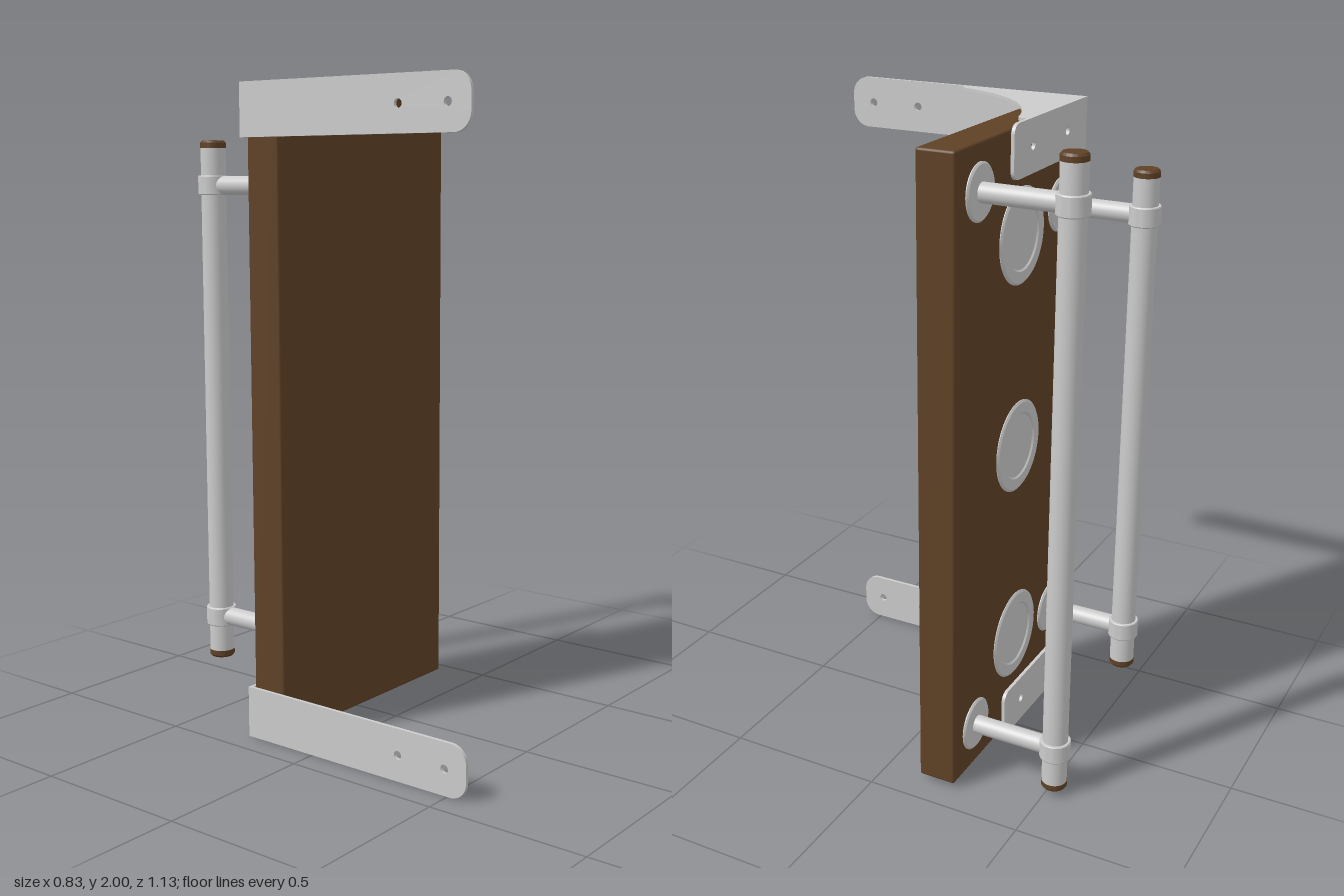
import * as THREE from 'three';
import { RoundedBoxGeometry } from 'three/addons/geometries/RoundedBoxGeometry.js';
import { toCreasedNormals } from 'three/addons/utils/BufferGeometryUtils.js';

const steel = new THREE.MeshStandardMaterial({ color: 0xcccccc });
const wood = new THREE.MeshStandardMaterial({ color: 0x5f4126 });

function add(parent, name, geometry, material, x, y, z) {
  const mesh = new THREE.Mesh(geometry, material);
  mesh.name = name;
  mesh.position.set(x, y, z);
  parent.add(mesh);
  return mesh;
}

// Turned part from [radius, height] pairs, with sharp edges kept
function turned(profile, segments = 48) {
  const points = profile.map(([r, h]) => new THREE.Vector2(r, h));
  return toCreasedNormals(new THREE.LatheGeometry(points, segments), 0.5);
}

// Flat strip along +x with two rounded corners at the far end and screw holes
function strip(length, height, thickness, r, holes) {
  const h = height / 2;
  const s = new THREE.Shape();
  s.moveTo(0, -h);
  s.lineTo(length - r, -h);
  s.absarc(length - r, -h + r, r, -Math.PI / 2, 0);
  s.absarc(length - r, h - r, r, 0, Math.PI / 2);
  s.lineTo(0, h);
  s.closePath();
  for (const x of holes) {
    s.holes.push(new THREE.Path().absarc(x, 0, 0.013, 0, Math.PI * 2, true));
  }
  return new THREE.ExtrudeGeometry(s, { depth: thickness, bevelEnabled: false, curveSegments: 16 });
}

// Corner plate with a concave inner edge, drawn in x and z
function gussetGeometry(thickness) {
  const s = new THREE.Shape();
  s.moveTo(-0.417, -0.258);
  s.lineTo(-0.01, -0.258);
  s.lineTo(-0.01, -0.24);
  s.quadraticCurveTo(-0.01, -0.219, -0.025, -0.215);
  s.quadraticCurveTo(-0.3, -0.14, -0.375, 0.135);
  s.quadraticCurveTo(-0.38, 0.153, -0.405, 0.153);
  s.lineTo(-0.417, 0.153);
  s.closePath();
  const g = new THREE.ExtrudeGeometry(s, { depth: thickness, bevelEnabled: false, curveSegments: 24 });
  return g.rotateX(Math.PI / 2);
}

// Angle bracket: back strip, side arm and corner plate
function bracket(name, yMid, gussetTop) {
  const g = new THREE.Group();
  g.name = name;
  add(g, 'backStrip', strip(0.504, 0.16, 0.011, 0.03, [0.14, 0.38]), steel, -0.417, yMid, -0.258);
  const arm = add(g, 'sideArm', strip(0.823, 0.16, 0.011, 0.055, [0.583, 0.748]), steel, -0.406, yMid, -0.258);
  arm.rotation.y = -Math.PI / 2;
  add(g, 'gusset', gussetGeometry(0.009), steel, 0, gussetTop, 0);
  return g;
}

// Grab rail: tube with wooden end caps, held by two posts
function rail(name, x, bottom, top, postHeights) {
  const g = new THREE.Group();
  g.name = name;
  const z = -0.52;
  const length = top - bottom - 0.03;
  add(g, 'tube', new THREE.CylinderGeometry(0.039, 0.039, length, 40), steel, x, (bottom + top) / 2, z);
  const cap = turned([[0, -0.01], [0.04, -0.01], [0.04, 0.006], [0.034, 0.013], [0, 0.015]], 40);
  add(g, 'topCap', cap, wood, x, top - 0.015, z);
  add(g, 'bottomCap', cap, wood, x, bottom + 0.015, z).rotation.x = Math.PI;

  const sleeve = turned([[0.038, -0.03], [0.046, -0.03], [0.048, -0.027],
    [0.048, 0.027], [0.046, 0.03], [0.038, 0.03]], 40);
  const post = new THREE.CylinderGeometry(0.029, 0.029, 0.25, 32).rotateX(Math.PI / 2);
  const flange = turned([[0, 0], [0.083, 0], [0.083, 0.004], [0.077, 0.009], [0, 0.009]])
    .rotateX(-Math.PI / 2);
  for (const y of postHeights) {
    add(g, 'sleeve', sleeve, steel, x, y, z);
    add(g, 'post', post, steel, x, y, -0.37);
    add(g, 'flange', flange, steel, x, y, -0.244);
  }
  return g;
}

export function createModel() {
  const model = new THREE.Group();
  model.name = 'doorPanelWithRails';

  // Wooden panel
  add(model, 'panel', new RoundedBoxGeometry(0.815, 1.967, 0.12, 2, 0.008), wood, 0.006, 1.002, -0.185);

  // Round plates with a shallow recess on the back
  const plate = turned([[0, 0], [0.145, 0], [0.145, 0.003], [0.138, 0.008], [0.105, 0.008],
    [0.1, 0.003], [0, 0.003]], 64).rotateX(-Math.PI / 2);
  for (const y of [0.345, 1.005, 1.665]) {
    add(model, 'recessedPlate', plate, steel, 0.002, y, -0.244);
  }

  // Long rail on the left, short rail on the right
  model.add(rail('longRail', 0.272, 0.02, 1.99, [0.16, 1.85]));
  model.add(rail('shortRail', -0.262, 0.17, 1.84, [0.31, 1.70]));

  model.add(bracket('topBracket', 1.92, 2));
  model.add(bracket('bottomBracket', 0.08, 0.009));
  return model;
}
